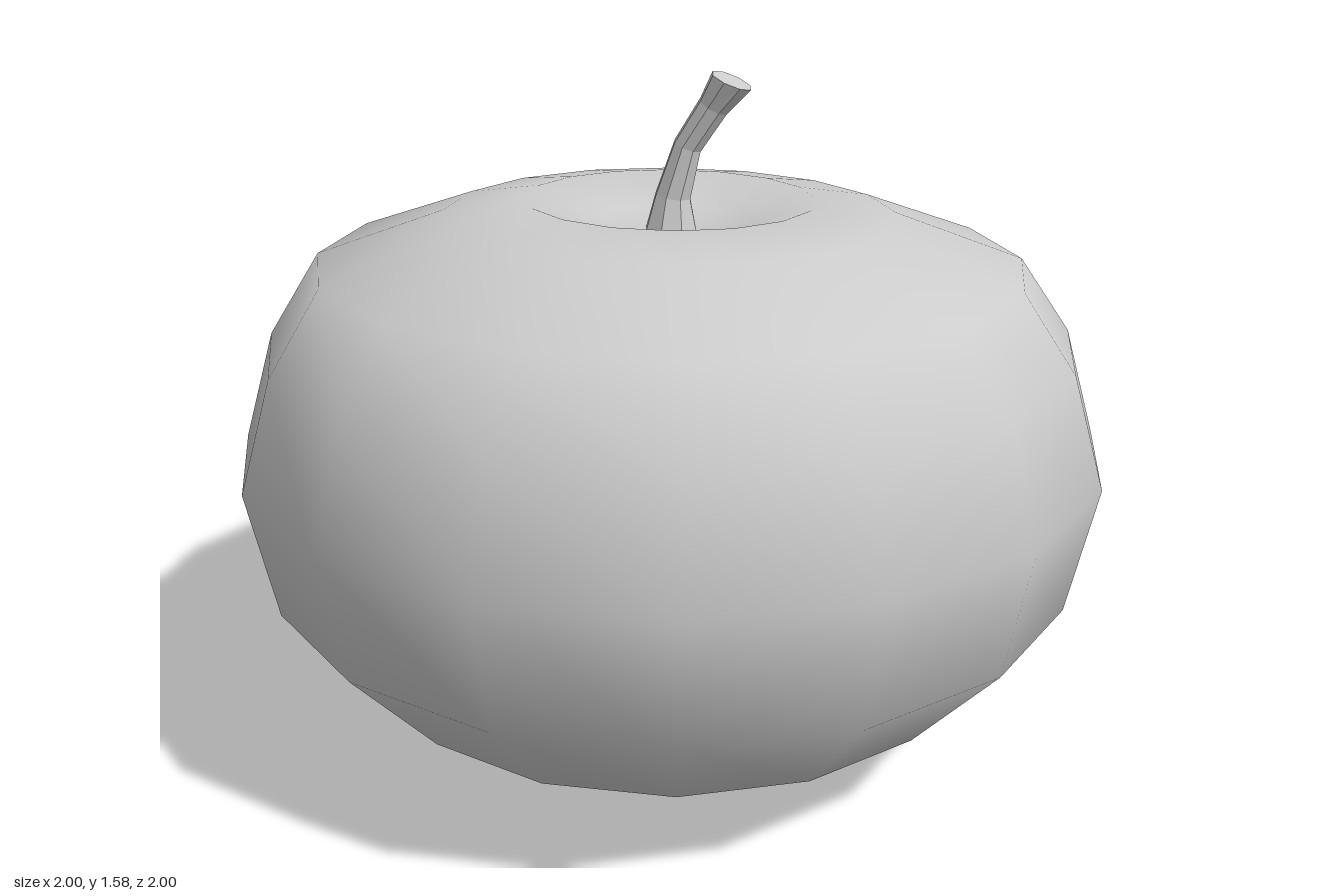
import * as THREE from 'three';
import { mergeVertices } from 'three/addons/utils/BufferGeometryUtils.js';

const material = new THREE.MeshStandardMaterial({ color: 0xcccccc });

// Fruit body: 16-sided lathe with a dimple at both ends and a slightly tilted crown
function createBody() {
  const profile = [
    [0, 0.08], [0.14, 0.04], [0.28, 0], [0.52, 0.09], [0.73, 0.2], [0.94, 0.435], [1, 0.73],
    [0.925, 0.98], [0.805, 1.16], [0.51, 1.265], [0.33, 1.295], [0.18, 1.24], [0, 1.21],
  ].map(([r, y]) => new THREE.Vector2(r, y));
  const lathe = new THREE.LatheGeometry(profile, 16);
  lathe.deleteAttribute('uv');
  lathe.deleteAttribute('normal');
  const body = mergeVertices(lathe, 1e-4);
  const pos = body.attributes.position;
  for (let i = 0; i < pos.count; i++) {
    if (pos.getY(i) > 1.1) pos.setY(i, pos.getY(i) - 0.012 * pos.getX(i));
  }
  body.computeVertexNormals();
  const mesh = new THREE.Mesh(body, material);
  mesh.name = 'fruitBody';
  return mesh;
}

// Stem: eight-sided rings that flare at both ends and follow a bent path
function createStem() {
  // x, y, radius, lean of each ring from base to tip
  const rings = [
    [0, 1.22, 0.062, 0], [0.005, 1.3, 0.042, -0.15], [0.04, 1.415, 0.033, -0.4],
    [0.1, 1.505, 0.035, -0.52], [0.142, 1.563, 0.048, -0.4],
  ];
  const geometry = new THREE.CylinderGeometry(1, 1, rings.length - 1, 8, rings.length - 1);
  const pos = geometry.attributes.position;
  const p = new THREE.Vector3();
  const axis = new THREE.Vector3(0, 0, 1);
  for (let i = 0; i < pos.count; i++) {
    const [x, y, r, lean] = rings[Math.round(pos.getY(i) + (rings.length - 1) / 2)];
    p.set(pos.getX(i) * r, 0, pos.getZ(i) * r).applyAxisAngle(axis, lean);
    pos.setXYZ(i, p.x + x, p.y + y, p.z);
  }
  geometry.computeVertexNormals();
  const stemMaterial = material.clone();
  stemMaterial.flatShading = true;
  const mesh = new THREE.Mesh(geometry, stemMaterial);
  mesh.name = 'stem';
  return mesh;
}

export function createModel() {
  const model = new THREE.Group();
  model.name = 'apple';
  model.add(createBody(), createStem());
  return model;
}
